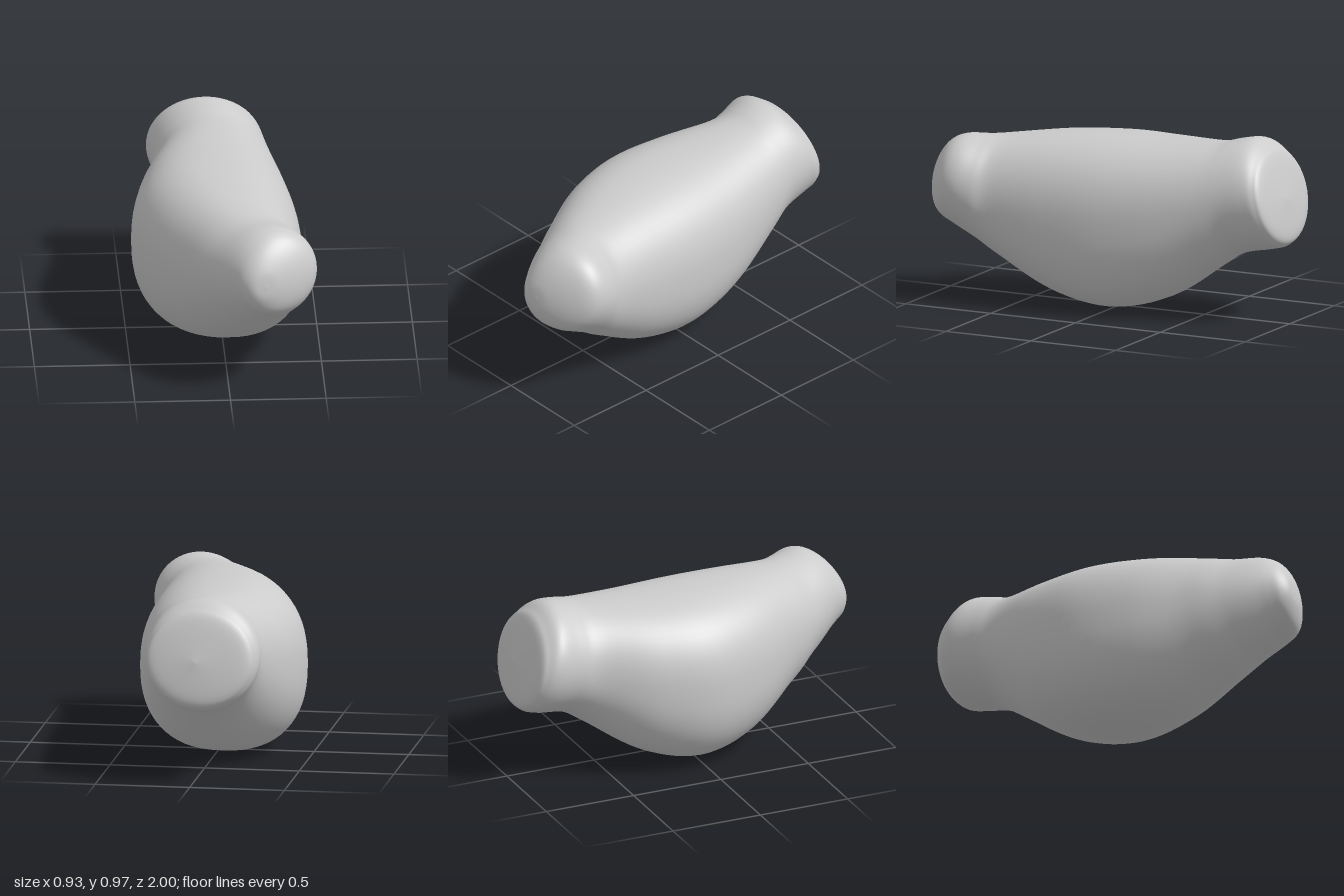
import * as THREE from 'three';

// Cross-sections from back to front: [z, xMin, xMax, yMin, yMax]
const SECTIONS = [
  [-0.975, -0.02, -0.02, 0.66, 0.66],
  [-0.95, -0.27, 0.2, 0.47, 0.87],
  [-0.91, -0.33, 0.245, 0.41, 0.93],
  [-0.84, -0.35, 0.26, 0.385, 0.965],
  [-0.71, -0.325, 0.28, 0.35, 0.953],
  [-0.58, -0.33, 0.31, 0.255, 0.93],
  [-0.3, -0.43, 0.372, 0.075, 0.92],
  [0, -0.465, 0.41, 0, 0.92],
  [0.3, -0.38, 0.415, 0.06, 0.908],
  [0.57, -0.215, 0.413, 0.215, 0.882],
  [0.7, -0.11, 0.443, 0.32, 0.876],
  [0.81, -0.02, 0.463, 0.4, 0.88],
  [0.88, 0.03, 0.44, 0.44, 0.855],
  [0.94, 0.07, 0.36, 0.485, 0.795],
  [0.982, 0.12, 0.26, 0.56, 0.71],
  [0.992, 0.185, 0.185, 0.63, 0.63],
];

// Smooth curve through three columns of the section list
function columns(i, j, k) {
  const points = SECTIONS.map((s) => new THREE.Vector3(s[i], s[j], s[k]));
  return new THREE.CatmullRomCurve3(points, false, 'catmullrom', 0.5);
}

function roundedPower(v, n) {
  return Math.sign(v) * Math.pow(Math.abs(v), 2 / n);
}

function createBodyGeometry(rings, sides) {
  const widths = columns(0, 1, 2);
  const heights = columns(0, 3, 4);
  const positions = [];
  const indices = [];

  for (let i = 0; i <= rings; i++) {
    const { x: z, y: xMin, z: xMax } = widths.getPoint(i / rings);
    const { y: yMin, z: yMax } = heights.getPoint(i / rings);
    // Both ends lean; the middle is upright and a little squarer
    const back = THREE.MathUtils.smoothstep(-z, 0.58, 0.93);
    const front = THREE.MathUtils.smoothstep(z, 0.52, 0.83);
    const squareness = 2 + 0.4 * Math.max(0, 1 - (z / 0.7) ** 2);

    for (let j = 0; j < sides; j++) {
      const angle = (j / sides) * Math.PI * 2;
      const dx = roundedPower(Math.cos(angle), squareness) * (xMax - xMin) / 2;
      const dy = roundedPower(Math.sin(angle), squareness) * (yMax - yMin) / 2;
      const lean = -0.19 * front * dx + (0.23 * back - 0.14 * front) * dy;
      positions.push((xMin + xMax) / 2 + dx, (yMin + yMax) / 2 + dy, z + lean);
      if (i < rings) {
        const a = i * sides + j;
        const b = i * sides + (j + 1) % sides;
        indices.push(a, b, a + sides, b, b + sides, a + sides);
      }
    }
  }

  const geometry = new THREE.BufferGeometry();
  geometry.setAttribute('position', new THREE.Float32BufferAttribute(positions, 3));
  geometry.setIndex(indices);
  geometry.computeVertexNormals();
  return geometry;
}

export function createModel() {
  const group = new THREE.Group();
  // Swollen body narrowing to two blunt, tilted ends
  const body = new THREE.Mesh(
    createBodyGeometry(90, 64),
    new THREE.MeshStandardMaterial({ color: 0xcccccc })
  );
  body.name = 'body';
  group.add(body);
  return group;
}
